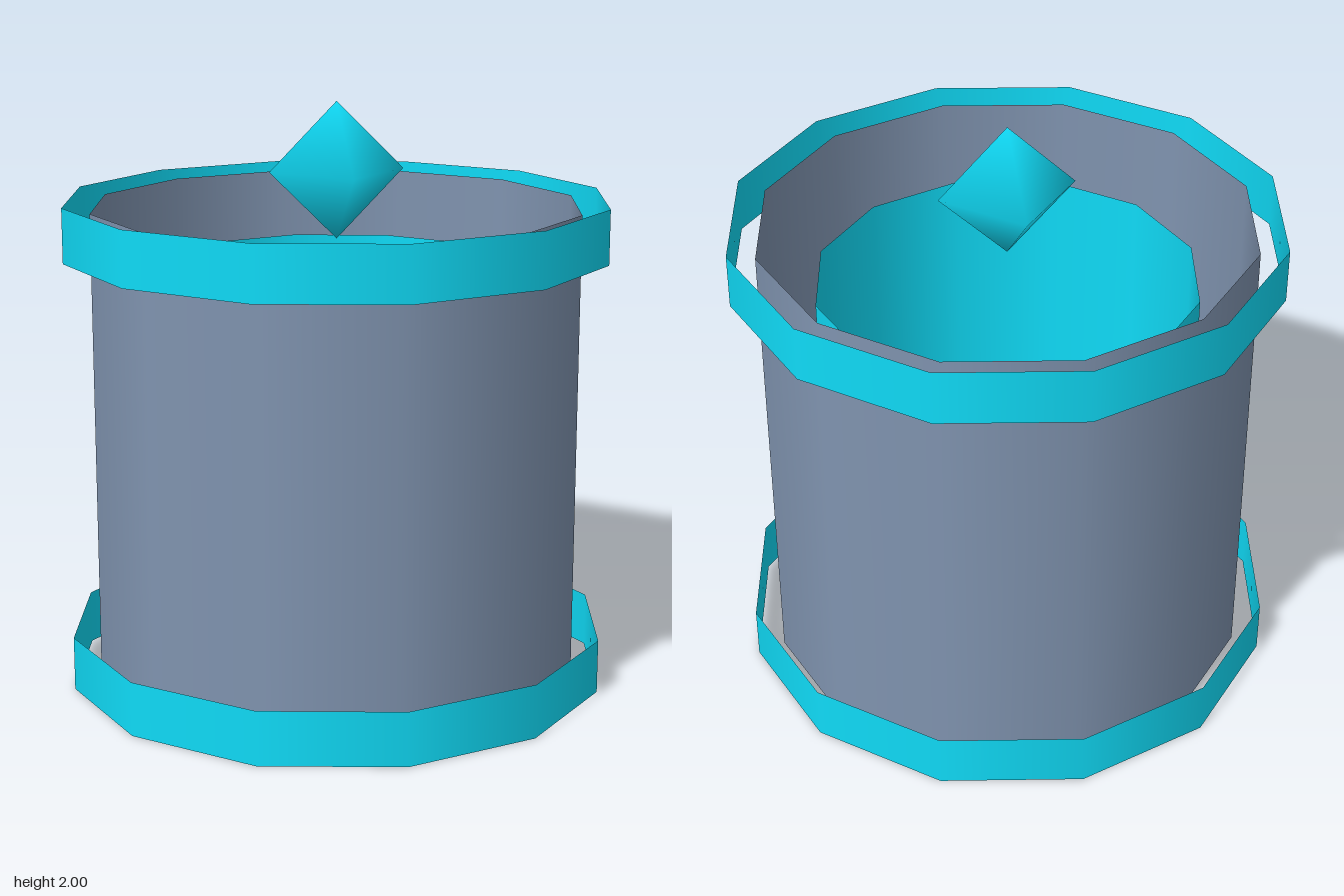
import * as THREE from 'three';

const SIDES = 12;

export function createModel() {
  const group = new THREE.Group();
  const cyan = new THREE.MeshStandardMaterial({ color: 0x10dcf8, side: THREE.DoubleSide });
  const slate = new THREE.MeshStandardMaterial({ color: 0x8094b0, side: THREE.DoubleSide });

  // Open-ended smooth tube between two heights
  function openTube(name, radius, bottom, top, material) {
    const geometry = new THREE.CylinderGeometry(radius, radius, top - bottom, SIDES, 1, true);
    const mesh = new THREE.Mesh(geometry, material);
    mesh.name = name;
    mesh.position.y = (bottom + top) / 2;
    group.add(mesh);
  }

  // Outer wall and the shorter core inside it
  openTube('outerWall', 0.837, 0.023, 1.651, slate);
  openTube('innerCore', 0.651, 0.235, 1.44, cyan);

  // Bands around both ends
  openTube('bottomBand', 0.93, 0, 0.186, cyan);
  openTube('topBand', 0.93, 1.488, 1.674, cyan);

  // Floating eight-sided gem with smooth normals
  const gem = new THREE.Mesh(new THREE.SphereGeometry(0.2325, 4, 2), cyan);
  gem.name = 'gem';
  gem.position.y = 1.7675;
  group.add(gem);

  return group;
}
